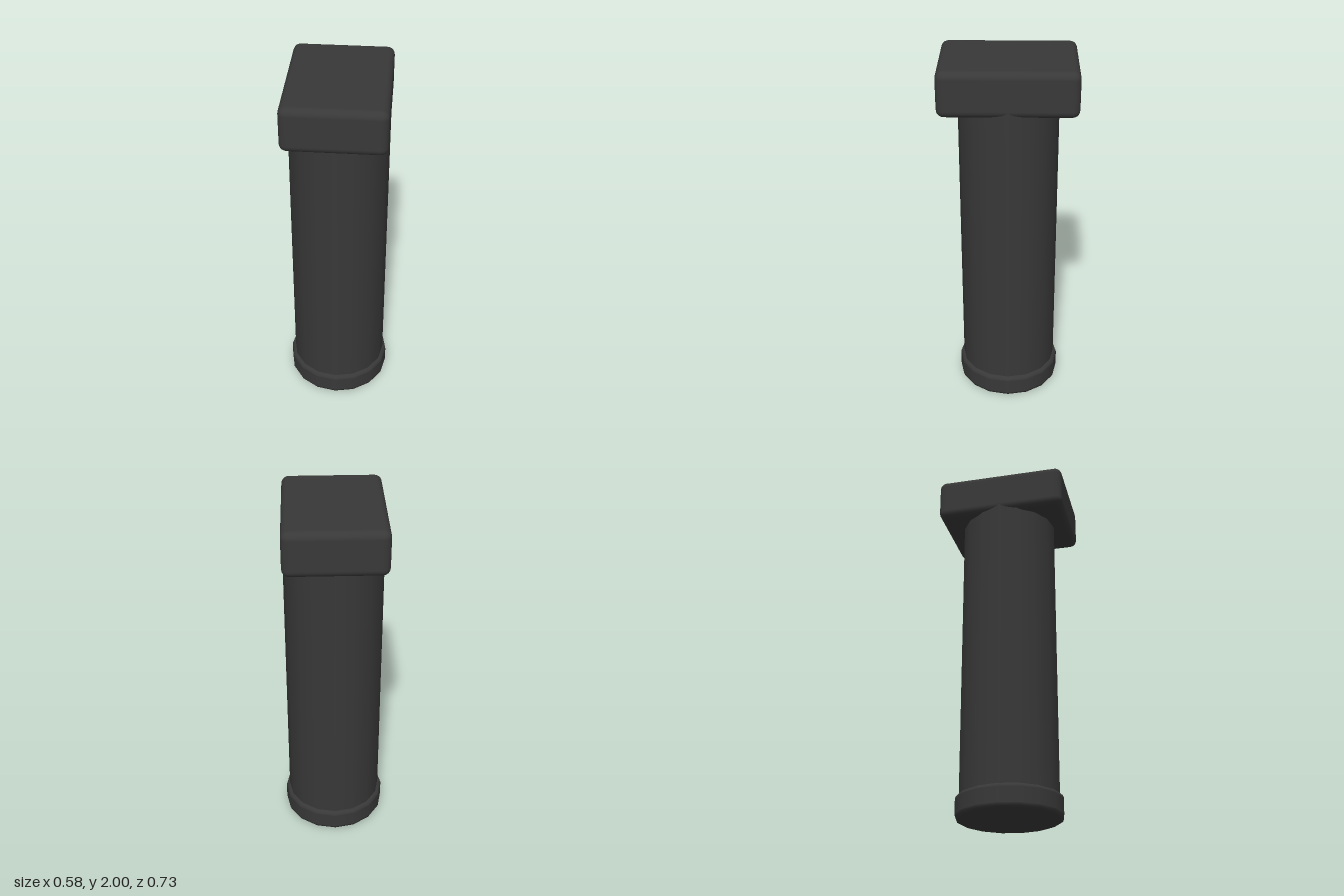
import * as THREE from 'three';
import { RoundedBoxGeometry } from 'three/addons/geometries/RoundedBoxGeometry.js';

const SIDES = 16;

export function createModel() {
  const group = new THREE.Group();
  const darkGrey = new THREE.MeshStandardMaterial({ color: 0x383838 });
  darkGrey.name = 'darkGrey';

  const add = (name, geometry, y = 0) => {
    const mesh = new THREE.Mesh(geometry, darkGrey);
    mesh.name = name;
    mesh.position.y = y;
    group.add(mesh);
  };

  // Base collar with softly bevelled rims; paired points keep the flats flat
  const rim = [
    [0, 0], [0.268, 0], [0.272, 0], [0.285, 0.006], [0.29, 0.018], [0.29, 0.022],
    [0.29, 0.103], [0.29, 0.107], [0.285, 0.119], [0.272, 0.125], [0.268, 0.125], [0, 0.125],
  ];
  add('baseCollar', new THREE.LatheGeometry(rim.map(([r, y]) => new THREE.Vector2(r, y)), SIDES));

  // Round shaft, running up into the cap
  const bottom = 0.1, top = 1.79;
  add('shaft', new THREE.CylinderGeometry(0.27, 0.27, top - bottom, SIDES), (top + bottom) / 2);

  // Rounded rectangular cap
  add('cap', new RoundedBoxGeometry(0.54, 0.245, 0.73, 3, 0.04), 2 - 0.245 / 2);

  return group;
}
